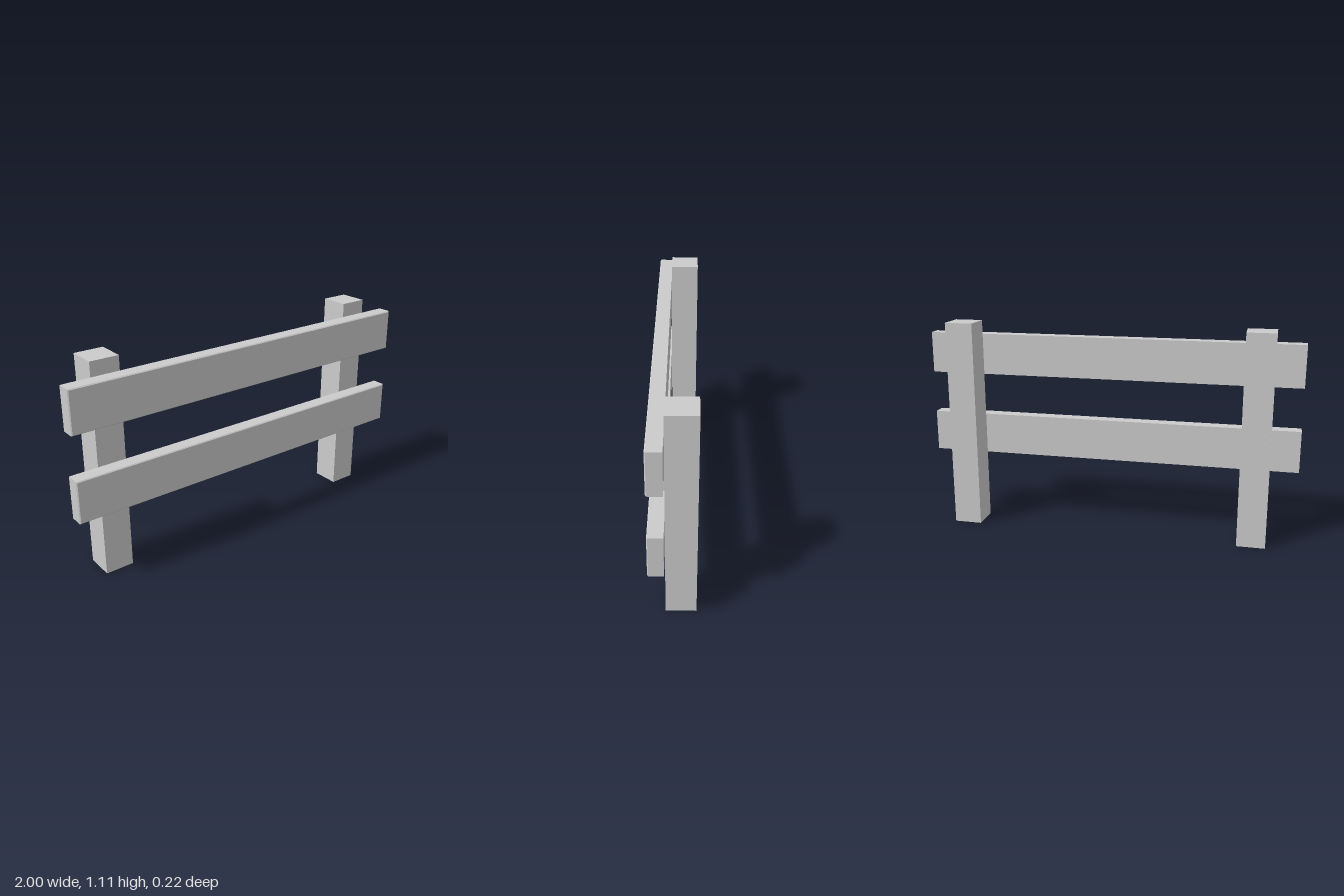
import * as THREE from 'three';

const material = new THREE.MeshStandardMaterial({ color: 0xcccccc, flatShading: true });

const POST = { size: 0.148, height: 1.112, x: 0.778, z: -0.037 };
const RAIL = { length: 2, height: 0.22, depth: 0.074, z: 0.074, bevel: 0.005 };

// Plank whose front face is slightly inset, leaving a small chamfer around it
function railGeometry({ length, height, depth, bevel }) {
  const box = new THREE.BoxGeometry(length, height, depth, 1, 1, 2);
  const p = box.attributes.position;
  for (let i = 0; i < p.count; i++) {
    const z = p.getZ(i);
    if (Math.abs(z) < 1e-6) {
      p.setZ(i, depth / 2 - bevel);
    } else if (z > 0) {
      p.setX(i, p.getX(i) - Math.sign(p.getX(i)) * bevel);
      p.setY(i, p.getY(i) - Math.sign(p.getY(i)) * bevel);
    }
  }
  const flat = box.toNonIndexed();
  flat.computeVertexNormals();
  return flat;
}

export function createModel() {
  const fence = new THREE.Group();
  fence.name = 'fence';

  const add = (name, geometry, x, y, z) => {
    const mesh = new THREE.Mesh(geometry, material);
    mesh.name = name;
    mesh.position.set(x, y, z);
    fence.add(mesh);
  };

  // Square posts
  const post = new THREE.BoxGeometry(POST.size, POST.height, POST.size);
  add('leftPost', post, POST.x, POST.height / 2, POST.z);
  add('rightPost', post, -POST.x, POST.height / 2, POST.z);

  // Horizontal rails fixed to the front of the posts
  const rail = railGeometry(RAIL);
  add('lowerRail', rail, 0, 0.483, RAIL.z);
  add('upperRail', rail, 0, 0.928, RAIL.z);

  return fence;
}
